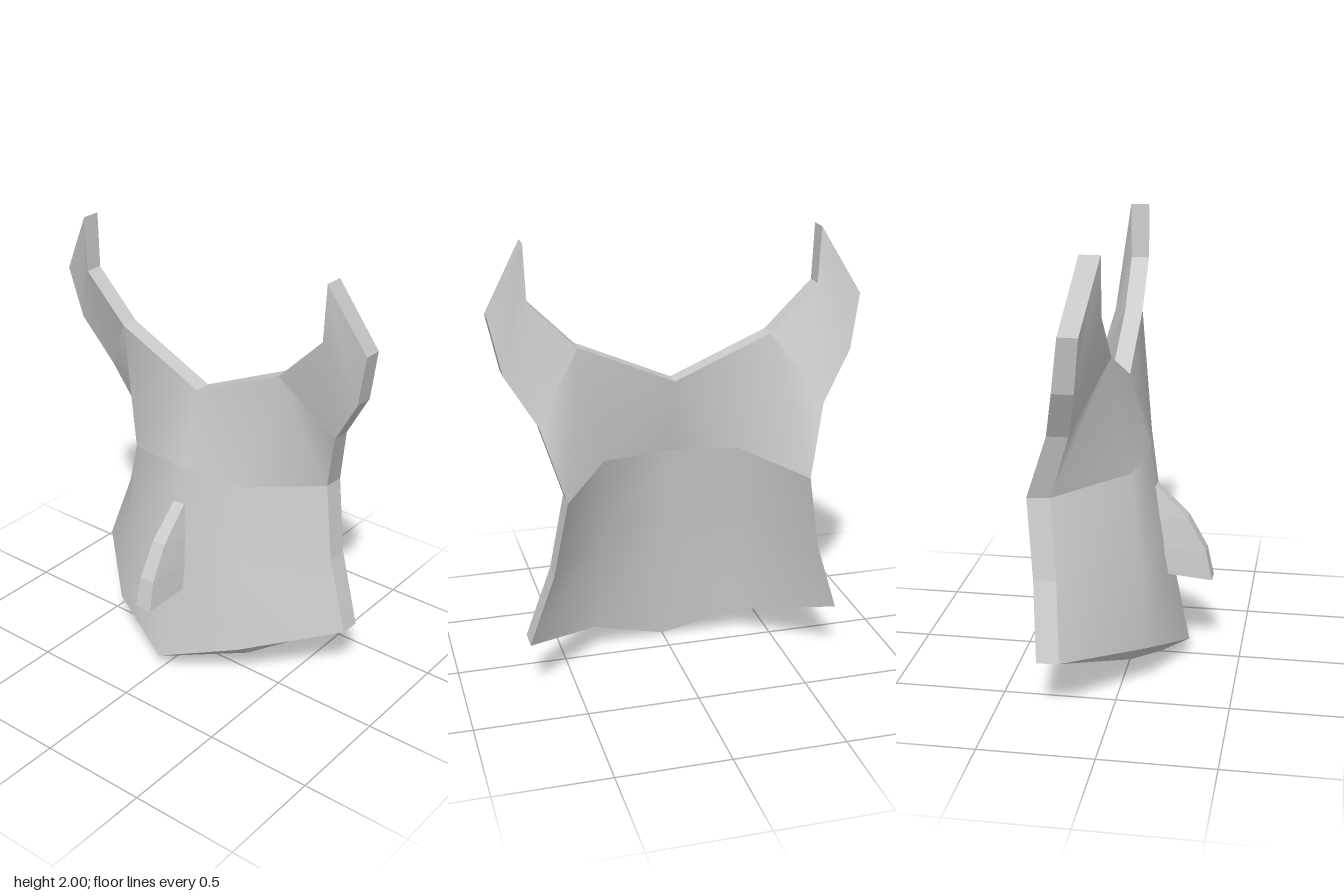
import * as THREE from 'three';

// Each point: x, y, z of the outer face, then y and z of the matching inner face
const hem = [[0.71, 0.27, -0.205, 0.265, -0.305], [0.35, 0.195, 0.128, 0.13, 0.04], [0, 0.08, 0.265, 0.005, 0.13]];
const belly = [[0.6, 0.6, -0.235, 0.6, -0.335], [0.325, 0.6, 0.087, 0.6, -0.005], [0, 0.6, 0.16, 0.6, 0.06]];
const waist = [[0.54, 0.95, -0.267, 0.945, -0.37], [0.31, 0.995, 0.04, 0.995, -0.05], [0, 1.0, 0.08, 1.0, -0.01]];
const neck = [[0.63, 1.25, -0.167, 1.25, -0.26], [0.43, 1.54, -0.024, 1.54, -0.106], [0, 1.35, -0.015, 1.35, -0.095]];
const strapMid = [[0.765, 1.47, -0.115, 1.47, -0.207], [0.64, 1.75, -0.025, 1.75, -0.108]];
const strapTip = [[0.815, 1.71, -0.085, 1.71, -0.17], [0.65, 2.0, -0.025, 2.0, -0.112]];

const flip = ([x, ...rest]) => [-x, ...rest];
const outer = (p) => [p[0], p[1], p[2]];
const inner = (p) => [p[0], p[3], p[4]];

// Full row from -x to +x out of a half row listed from side to centre
const fullRow = (half) => [...half.map(flip), ...half.slice(0, -1).reverse()];

function makeMesh(name, positions, index) {
  const geometry = new THREE.BufferGeometry();
  geometry.setAttribute('position', new THREE.Float32BufferAttribute(positions.flat(), 3));
  if (index) geometry.setIndex(index);
  geometry.computeVertexNormals();
  const mesh = new THREE.Mesh(geometry, new THREE.MeshStandardMaterial({ color: 0xcccccc }));
  mesh.name = name;
  return mesh;
}

// Smooth sheet through rows of points, rows going up and columns towards +x
function sheet(name, rows, face, reverse) {
  const n = rows[0].length;
  const index = [];
  for (let r = 0; r < rows.length - 1; r++) {
    for (let c = 0; c < n - 1; c++) {
      const a = r * n + c, b = a + 1, d = a + n, e = d + 1;
      const onLeft = rows[r][c][0] + rows[r][c + 1][0] > 0;
      const tris = onLeft ? [[a, b, d], [b, e, d]] : [[a, b, e], [a, e, d]];
      for (const t of tris) index.push(...(reverse ? t.reverse() : t));
    }
  }
  return makeMesh(name, rows.flat().map(face), index);
}

// Flat-sided quads, corners counter-clockwise seen from outside
const quad = (a, b, c, d) => [a, b, c, a, c, d];

function createRidge() {
  // Half width, y, z of the crest, then half width, y, z of the base
  const sections = [
    [0.04, 0.4, 0.37, 0.07, 0.435, 0.15],
    [0.037, 0.54, 0.34, 0.066, 0.56, 0.125],
    [0.033, 0.695, 0.255, 0.057, 0.69, 0.1],
    [0.029, 0.84, 0.112, 0.036, 0.83, 0.07],
  ];
  const rings = sections.map(([w, y, z, bw, by, bz]) => [[-bw, by, bz], [-w, y, z], [w, y, z], [bw, by, bz]]);
  const verts = [];
  for (let i = 0; i < rings.length - 1; i++) {
    for (let j = 0; j < 4; j++) {
      const k = (j + 1) % 4;
      verts.push(...quad(rings[i][j], rings[i][k], rings[i + 1][k], rings[i + 1][j]));
    }
  }
  const [b0, b1, b2, b3] = rings[0];
  verts.push(...quad(b3, b2, b1, b0), ...quad(...rings[rings.length - 1]));
  return makeMesh('frontRidge', verts);
}

export function createModel() {
  const group = new THREE.Group();
  group.name = 'breastplate';

  // Panels of the plate, each with an outer and an inner skin
  const leftStrap = [[neck[1], neck[0]], [strapMid[1], strapMid[0]], [strapTip[1], strapTip[0]]];
  const panels = {
    abdomen: [hem, belly, waist].map(fullRow),
    chest: [waist, neck].map(fullRow),
    leftShoulder: leftStrap,
    rightShoulder: leftStrap.map((row) => row.map(flip).reverse()),
  };
  for (const [name, rows] of Object.entries(panels)) {
    group.add(sheet(name + 'Outer', rows, outer, false));
    group.add(sheet(name + 'Inner', rows, inner, true));
  }

  // Rim that closes the thickness all the way round
  const half = [hem[2], hem[1], hem[0], belly[0], waist[0], neck[0], strapMid[0], strapTip[0],
    strapTip[1], strapMid[1], neck[1], neck[2]];
  const loop = [...half, ...half.slice(1, -1).reverse().map(flip)];
  const rim = loop.flatMap((p, i) => {
    const q = loop[(i + 1) % loop.length];
    return quad(outer(p), inner(p), inner(q), outer(q));
  });
  group.add(makeMesh('rim', rim));

  group.add(createRidge());
  return group;
}
